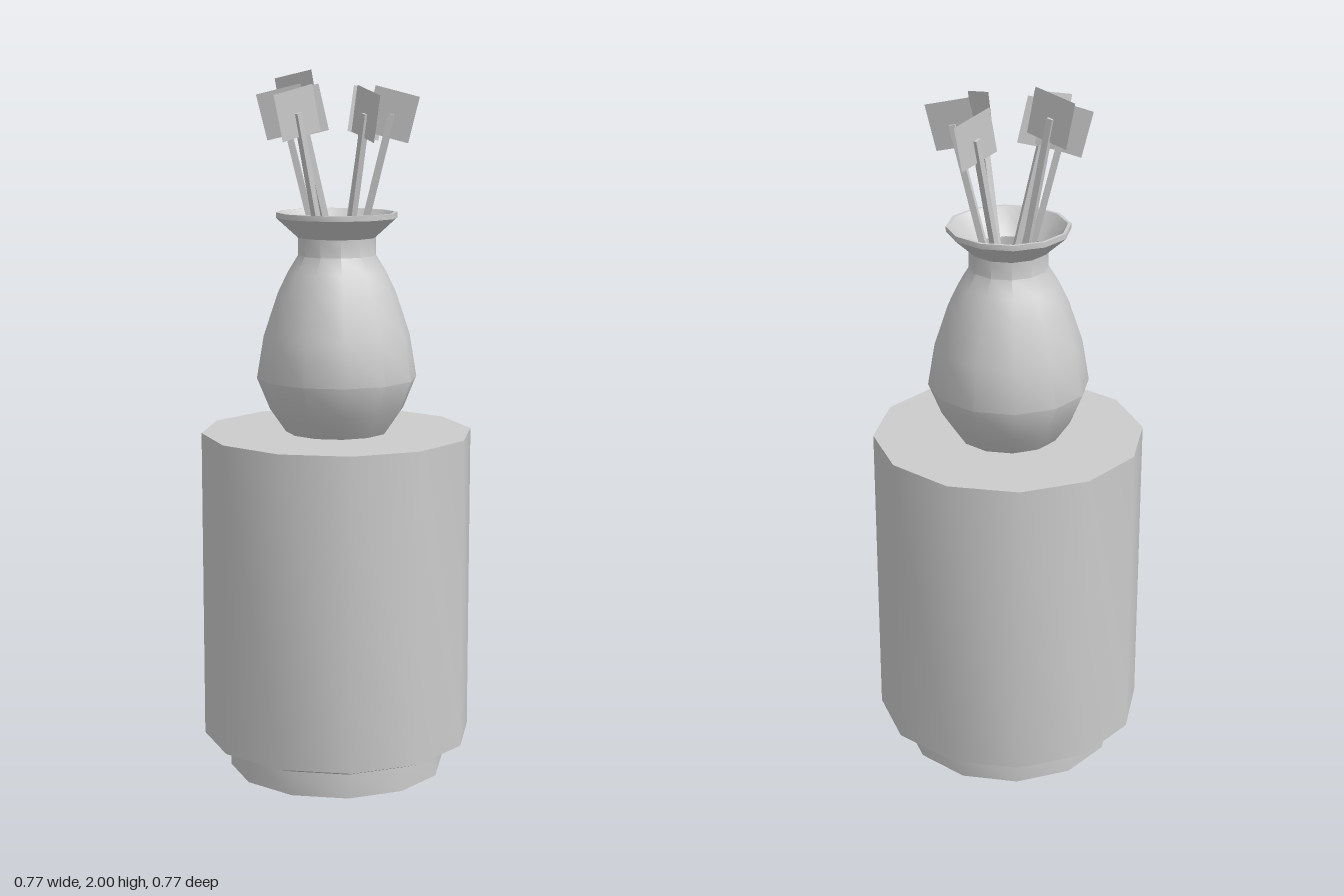
import * as THREE from 'three';
import { toCreasedNormals } from 'three/addons/utils/BufferGeometryUtils.js';

const SIDES = 12;
const material = new THREE.MeshStandardMaterial({ color: 0xcccccc });
const thinMaterial = new THREE.MeshStandardMaterial({ color: 0xcccccc, side: THREE.DoubleSide });

// Twelve-sided turned part from [radius, height] pairs, soft around and creased at the rims
function turned(name, profile) {
  const points = profile.map(([r, y]) => new THREE.Vector2(r, y));
  const mesh = new THREE.Mesh(toCreasedNormals(new THREE.LatheGeometry(points, SIDES), 0.6), material);
  mesh.name = name;
  return mesh;
}

// Square stick leaning from start to end, with a thin square blade centred on its tip
function leaningStick(start, end) {
  const from = new THREE.Vector3(...start);
  const to = new THREE.Vector3(...end);
  const up = to.clone().sub(from);
  const length = up.length();
  up.normalize();
  const side = new THREE.Vector3(up.x, 0, up.z).normalize().cross(up).normalize();
  const out = up.clone().cross(side).negate();
  if (out.x * up.x + out.z * up.z < 0) out.negate();

  const group = new THREE.Group();
  group.name = 'bladedStick';
  const stick = new THREE.Mesh(new THREE.BoxGeometry(0.018, length, 0.018), material);
  stick.name = 'stick';
  stick.position.y = -length / 2;
  const blade = new THREE.Mesh(new THREE.PlaneGeometry(0.13, 0.13), thinMaterial);
  blade.name = 'blade';
  blade.rotation.y = -0.12;
  group.add(stick, blade);

  // Lean the local y axis along the stick, with local x pointing outward
  group.quaternion.setFromRotationMatrix(
    new THREE.Matrix4().makeBasis(out, up, out.clone().cross(up))
  );
  group.position.copy(to);
  return group;
}

export function createModel() {
  const model = new THREE.Group();
  model.name = 'vaseOnPlinth';

  // Plinth: recessed foot, sloping underside, tall drum
  model.add(turned('plinth', [
    [0, 0], [0.31, 0], [0.31, 0.07], [0.385, 0.1], [0.385, 0.985], [0, 0.985],
  ]));

  // Vase: outer wall up to the flared lip, then the inner wall down to the floor
  model.add(turned('vase', [
    [0, 0.985], [0.145, 0.985], [0.19, 1.05], [0.227, 1.14],
    [0.207, 1.26], [0.167, 1.38], [0.138, 1.44], [0.11, 1.485],
    [0.11, 1.535], [0.171, 1.59], [0.171, 1.605], [0.162, 1.605],
    [0.105, 1.535], [0.105, 1.485], [0.155, 1.38], [0.213, 1.14],
    [0.135, 1.0], [0, 1.0],
  ]));

  // Bundle of sticks fanning out of the neck
  const sticks = new THREE.Group();
  sticks.name = 'sticks';
  [
    [[0.006, 1.2, 0.025], [-0.041, 1.875, -0.132]],
    [[-0.01, 1.2, 0.01], [0.113, 1.875, -0.105]],
    [[-0.02, 1.18, -0.002], [0.133, 1.878, 0]],
    [[-0.003, 1.2, -0.015], [0.018, 1.88, 0.145]],
    [[0.018, 1.2, -0.055], [-0.036, 1.88, 0.096]],
    [[0.012, 1.2, -0.015], [-0.095, 1.88, 0.113]],
    [[0.012, 1.2, -0.006], [-0.115, 1.92, 0.055]],
  ].forEach(([start, end]) => sticks.add(leaningStick(start, end)));
  model.add(sticks);

  return model;
}
